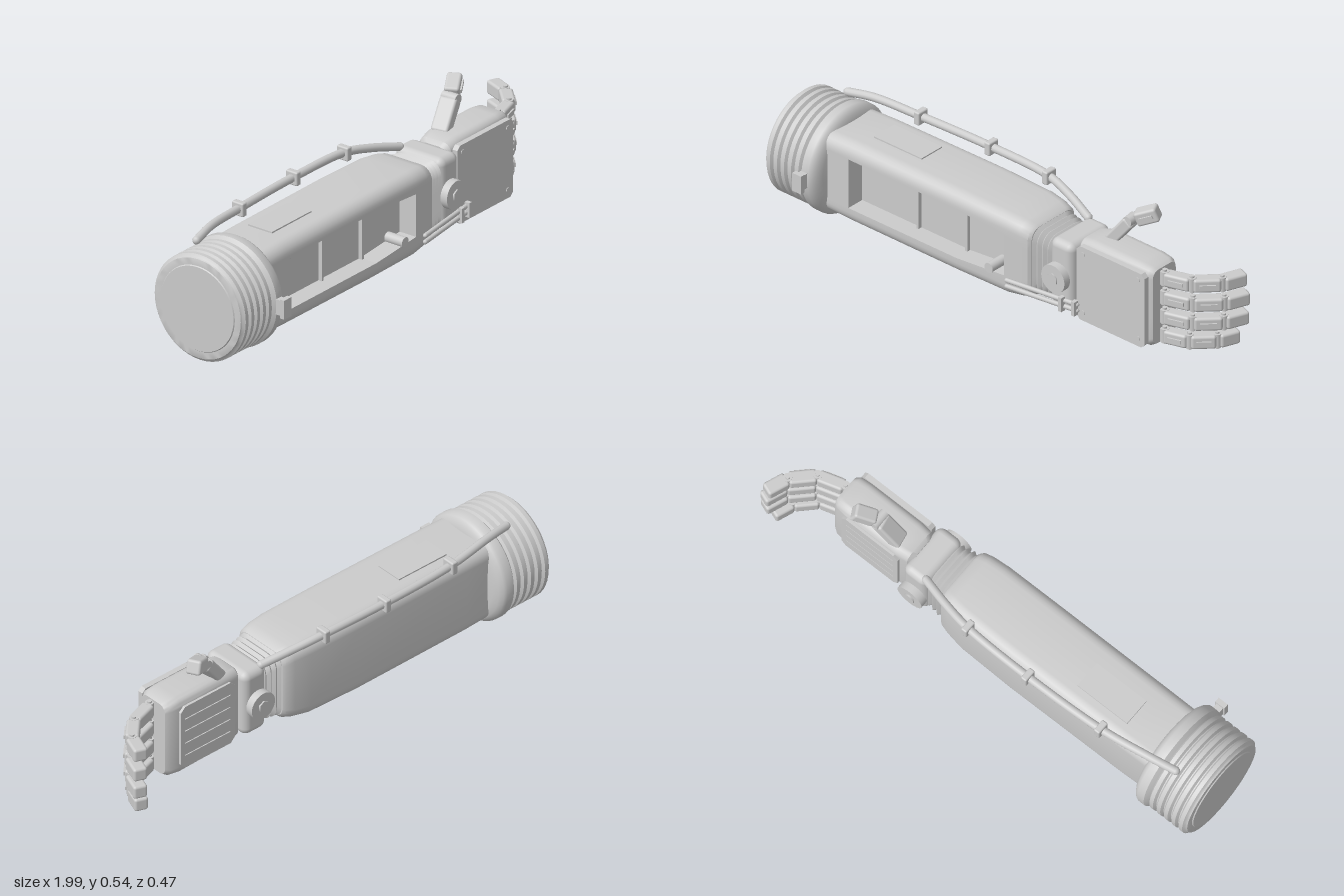
import * as THREE from 'three';
import { toCreasedNormals } from 'three/addons/utils/BufferGeometryUtils.js';
import { RoundedBoxGeometry } from 'three/addons/geometries/RoundedBoxGeometry.js';

const V = (x, y, z) => new THREE.Vector3(x, y, z);

export function createModel() {
  const root = new THREE.Group();
  const mat = new THREE.MeshStandardMaterial({ color: 0xcccccc });

  const add = (name, geo, x = 0, y = 0, z = 0, parent = root) => {
    const m = new THREE.Mesh(geo, mat);
    m.name = name;
    m.position.set(x, y, z);
    parent.add(m);
  };
  const box = (w, h, d) => new THREE.BoxGeometry(w, h, d);
  const soft = (w, h, d, r) => new RoundedBoxGeometry(w, h, d, 3, r);
  const cylY = (r, h, n = 24) => new THREE.CylinderGeometry(r, r, h, n);
  const cylZ = (r, h, n = 24) => cylY(r, h, n).rotateX(Math.PI / 2);
  const polygon = (pts) => new THREE.Shape(pts.map(([x, y]) => new THREE.Vector2(x, y)));
  const extrude = (shape, depth) => new THREE.ExtrudeGeometry(shape, { depth, bevelEnabled: false });

  // Rounded-rectangle cross-section in the y-z plane, with two spare points on its front edge
  const section = ([x, y0, y1, z0, z1, r, lo = 0.18, hi = 0.25]) => {
    const pts = [V(x, lo, z1), V(x, hi, z1)];
    const corners = [[y1 - r, z1 - r], [y1 - r, z0 + r], [y0 + r, z0 + r], [y0 + r, z1 - r]];
    corners.forEach(([cy, cz], k) => {
      for (let i = 0; i <= 6; i++) {
        const t = (k + i / 6) * Math.PI / 2;
        pts.push(V(x, cy + r * Math.sin(t), cz + r * Math.cos(t)));
      }
    });
    return pts;
  };
  // Skin through the sections; spans listed in "open" leave the front window free
  const loft = (rows, open = []) => {
    const s = rows.map(section), n = s[0].length, pos = [];
    const tri = (...p) => p.forEach((v) => pos.push(v.x, v.y, v.z));
    const last = s.length - 1;
    const mid = (i) => s[i].reduce((c, p) => c.addScaledVector(p, 1 / n), V(0, 0, 0));
    const c0 = mid(0), c1 = mid(last);
    for (let j = 0; j < n; j++) {
      const k = (j + 1) % n;
      for (let i = 0; i < last; i++) {
        if (j === 0 && open.includes(i)) continue;
        tri(s[i][j], s[i + 1][j], s[i + 1][k]);
        tri(s[i][j], s[i + 1][k], s[i][k]);
      }
      tri(c0, s[0][j], s[0][k]);
      tri(c1, s[last][k], s[last][j]);
    }
    const g = new THREE.BufferGeometry();
    g.setAttribute('position', new THREE.Float32BufferAttribute(pos, 3));
    return toCreasedNormals(g, 0.6);
  };

  // Ribbed cuff with a collar that slopes in to the forearm
  const profile = [[0, -1], [0.165, -1], [0.168, -0.996], [0.195, -0.996]];
  for (let i = 0; i < 5; i++) {
    const x = -0.99 + i * 0.034;
    profile.push([0.197, x], [0.208, x + 0.007], [0.208, x + 0.023], [0.197, x + 0.03]);
  }
  profile.push([0.205, -0.818], [0.215, -0.81], [0.215, -0.78], [0.208, -0.768], [0.192, -0.757], [0.165, -0.75], [0, -0.748]);
  const cuff = new THREE.LatheGeometry(profile.map(([r, x]) => new THREE.Vector2(r, x)), 48);
  add('cuff', toCreasedNormals(cuff.rotateZ(-Math.PI / 2), 0.7), 0, 0.215, -0.02);
  add('cuffLatchStem', box(0.03, 0.06, 0.04), -0.797, 0.215, 0.2);
  add('cuffLatchPlate', box(0.042, 0.075, 0.02), -0.797, 0.215, 0.224);

  // Forearm shell with an open front bay
  add('forearmShell', loft([
    [-0.77, 0.055, 0.382, -0.16, 0.12, 0.05, 0.12, 0.325],
    [-0.65, 0.052, 0.385, -0.163, 0.12, 0.05, 0.12, 0.325],
    [-0.13, 0.05, 0.387, -0.165, 0.12, 0.05, 0.12, 0.325],
    [0.1, 0.054, 0.385, -0.16, 0.12, 0.05, 0.14, 0.31],
    [0.17, 0.064, 0.38, -0.15, 0.116, 0.05, 0.14, 0.3],
    [0.205, 0.075, 0.372, -0.142, 0.11, 0.05, 0.16, 0.28],
    [0.215, 0.085, 0.364, -0.132, 0.1, 0.045, 0.17, 0.27],
  ], [1, 2]));
  const rim = polygon([[-0.66, 0.11], [-0.13, 0.11], [0.11, 0.13], [0.11, 0.32], [-0.13, 0.335], [-0.66, 0.335]]);
  rim.holes.push(polygon([[-0.65, 0.12], [-0.13, 0.12], [0.1, 0.14], [0.1, 0.31], [-0.13, 0.325], [-0.65, 0.325]]));
  add('bayWalls', extrude(rim, 0.077), 0, 0, 0.042);
  add('bayFloor', box(0.77, 0.225, 0.008), -0.275, 0.2225, 0.04);
  for (const x of [-0.37, -0.135]) add('bayDivider', box(0.01, 0.205, 0.016), x, 0.2225, 0.052);
  add('bayPeg', cylZ(0.02, 0.085), 0.03, 0.145, 0.082);
  add('bayKnob', cylZ(0.018, 0.03), -0.56, 0.297, 0.055);
  add('topPanel', box(0.23, 0.012, 0.11), -0.5, 0.385, -0.035);

  // Cable with clamps
  const path = [[-0.87, 0.41, -0.125], [-0.76, 0.42, -0.147], [-0.56, 0.411, -0.172], [-0.23, 0.411, -0.183],
    [0.055, 0.408, -0.174], [0.18, 0.388, -0.148], [0.3, 0.36, -0.112]].map((p) => V(...p));
  const curve = new THREE.CatmullRomCurve3(path);
  add('cable', new THREE.TubeGeometry(curve, 60, 0.016, 12));
  for (const p of [path[0], path[6]]) add('cableEnd', new THREE.SphereGeometry(0.016, 12, 8), p.x, p.y, p.z);
  for (const p of path.slice(2, 5)) add('cableClamp', soft(0.026, 0.054, 0.052, 0.006), p.x, p.y, p.z);

  // Wrist bellows, yoke and pivot bolts
  const rings = [];
  for (let i = 0; i <= 8; i++) {
    const d = (i % 2 ? 0 : 0.01) + i * 0.0015;
    rings.push([0.205 + i * 0.0115, 0.08 + d, 0.366 - d, -0.13 + d, 0.1 - d, 0.05]);
  }
  add('wristBellows', loft(rings));
  add('wristYoke', soft(0.11, 0.275, 0.22, 0.03), 0.342, 0.225, -0.022);
  for (const s of [1, -1]) {
    const z = -0.022;
    add('pivotDisc', cylZ(0.056, 0.03, 32), 0.335, 0.22, z + s * 0.127);
    add('pivotHexBolt', cylZ(0.024, 0.02, 6), 0.335, 0.22, z + s * 0.138);
  }

  // Twin push rods beside the wrist
  for (const y of [0.115, 0.14]) {
    const rod = new THREE.LineCurve3(V(0.13, y, 0.138), V(0.43, y, 0.096));
    add('pushRod', new THREE.TubeGeometry(rod, 1, 0.009, 10));
    for (const p of [rod.v1, rod.v2]) add('pushRodEnd', new THREE.SphereGeometry(0.009, 10, 8), p.x, p.y, p.z);
  }
  for (const x of [0.37, 0.425]) add('pushRodBracket', box(0.016, 0.058, 0.022), x, 0.1275, 0.112 - (x - 0.37) * 0.15);

  // Palm, back plate and gripping pad
  add('palm', loft([
    [0.385, 0.09, 0.36, -0.085, 0.03, 0.03], [0.4, 0.075, 0.375, -0.1, 0.045, 0.035],
    [0.45, 0.06, 0.385, -0.108, 0.05, 0.035], [0.68, 0.052, 0.386, -0.106, 0.05, 0.035],
    [0.725, 0.055, 0.383, -0.1, 0.047, 0.035], [0.742, 0.065, 0.373, -0.088, 0.036, 0.03],
  ]));
  const plate = polygon([[0.42, 0.062], [0.715, 0.062], [0.73, 0.077], [0.73, 0.355], [0.715, 0.37],
    [0.42, 0.37], [0.405, 0.355], [0.405, 0.077]]);
  add('handBackPlate', extrude(plate, 0.022), 0, 0, 0.047);
  for (const x of [0.435, 0.7]) for (const y of [0.095, 0.34]) add('plateScrew', cylZ(0.01, 0.008, 12), x, y, 0.068);
  const pad = polygon([[0.45, 0.085], [0.67, 0.085], [0.69, 0.105], [0.69, 0.335], [0.67, 0.355],
    [0.45, 0.355], [0.43, 0.335], [0.43, 0.105]]);
  for (let i = 0; i < 4; i++) {
    const y = 0.139 + i * 0.054;
    pad.holes.push(polygon([[0.45, y - 0.002], [0.67, y - 0.002], [0.67, y + 0.002], [0.45, y + 0.002]]));
  }
  add('palmPad', extrude(pad, 0.012), 0, 0, -0.116);

  // One finger link between two joints, optionally with a raised bar on its outer face
  const link = (name, a, b, h, d, parent, bar = true) => {
    const g = new THREE.Group();
    g.name = name;
    const X = b.clone().sub(a), len = X.length();
    X.normalize();
    const Y = V(0, 1, 0).addScaledVector(X, -X.y).normalize();
    g.quaternion.setFromRotationMatrix(new THREE.Matrix4().makeBasis(X, Y, X.clone().cross(Y)));
    g.position.copy(a).lerp(b, 0.5);
    add(name + 'Body', soft(len - 0.008, h, d, 0.01), 0, 0, 0, g);
    if (bar) add(name + 'Bar', box(len * 0.55, 0.015, 0.012), 0, 0, d / 2, g);
    parent.add(g);
  };
  const joint = (p, parent) => {
    add('jointBarrel', cylY(0.017, 0.056, 16), p.x, p.y, p.z, parent);
    add('jointPin', cylY(0.009, 0.07, 12), p.x, p.y, p.z, parent);
  };

  // Four curled fingers
  [[0.335, 0.985], [0.255, 1.02], [0.175, 1.01], [0.095, 0.9]].forEach(([y, k]) => {
    const finger = new THREE.Group();
    finger.name = 'finger';
    const p = [[0, 0], [0.105, -0.032], [0.183, -0.11], [0.217, -0.2]]
      .map(([x, z]) => V(0.753 + x * k, y, -0.016 + z * k));
    for (let i = 0; i < 3; i++) {
      joint(p[i], finger);
      link(['lowerLink', 'middleLink', 'fingertip'][i], p[i], p[i + 1], 0.054, 0.049 + i * 0.002, finger, i < 2);
    }
    root.add(finger);
  });

  // Thumb
  const thumb = new THREE.Group();
  thumb.name = 'thumb';
  const t = [V(0.465, 0.365, -0.057), V(0.55, 0.475, -0.073), V(0.636, 0.516, -0.12)];
  link('thumbBase', t[0], t[1], 0.048, 0.07, thumb, false);
  link('thumbTip', t[1].clone().lerp(t[2], 0.1), t[2], 0.056, 0.056, thumb);
  add('thumbJoint', cylZ(0.02, 0.066, 16), t[1].x, t[1].y, t[1].z, thumb);
  root.add(thumb);

  return root;
}
